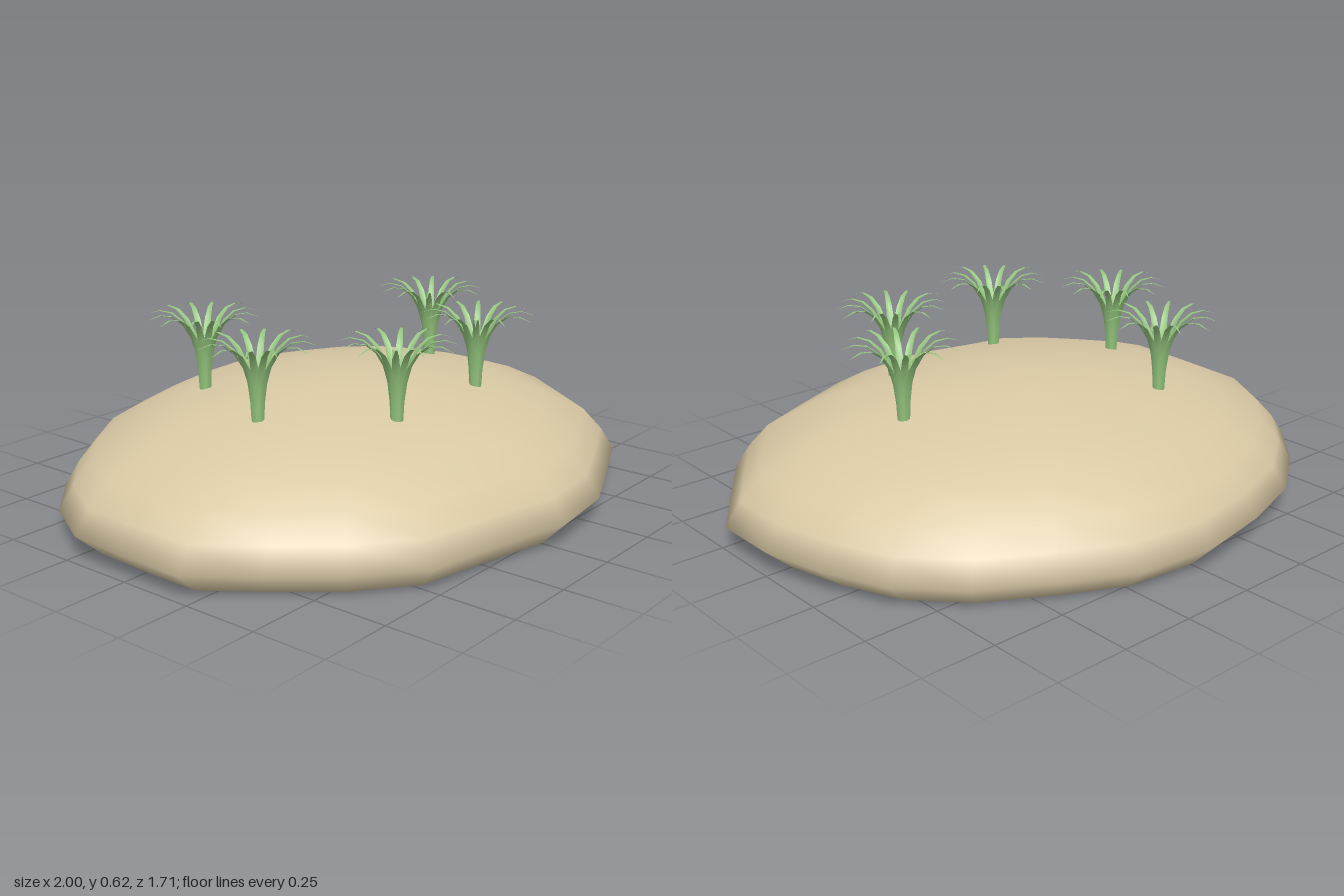
import * as THREE from 'three';
import { mergeVertices } from 'three/addons/utils/BufferGeometryUtils.js';

const sand = new THREE.MeshStandardMaterial({ name: 'sand', color: 0xd9c9a5 });
const leafGreen = new THREE.MeshStandardMaterial({ name: 'leafGreen', color: 0x93c47d, side: THREE.DoubleSide });

function indexed(positions, indices) {
  const g = new THREE.BufferGeometry();
  g.setAttribute('position', new THREE.Float32BufferAttribute(positions, 3));
  g.setIndex(indices);
  return g;
}

// Sandy mound: an irregular outline scaled through a domed profile
function createMound() {
  const outline = [
    [0, -0.86], [0.26, -0.83], [0.48, -0.72], [0.7, -0.59], [0.86, -0.42], [0.95, -0.21],
    [1, 0], [1, 0.22], [0.87, 0.41], [0.73, 0.61], [0.49, 0.72], [0.26, 0.82],
    [0, 0.85], [-0.26, 0.79], [-0.52, 0.74], [-0.71, 0.59], [-0.86, 0.41], [-1, 0.22],
    [-1, 0], [-0.99, -0.22], [-0.88, -0.42], [-0.71, -0.59], [-0.51, -0.73], [-0.27, -0.81],
  ];
  // fraction of the outline, height
  const profile = [
    [0, 0.42], [0.3, 0.4], [0.58, 0.352], [0.74, 0.295], [0.88, 0.228],
    [0.95, 0.155], [1, 0.08], [0.91, 0], [0, 0],
  ];
  const n = outline.length, pos = [], idx = [];
  for (const [f, y] of profile) for (const [x, z] of outline) pos.push(x * f, y, z * f);
  for (let r = 0; r < profile.length - 1; r++) {
    for (let k = 0; k < n; k++) {
      const a = r * n + k, b = r * n + (k + 1) % n, c = b + n, d = a + n;
      if (r > 0) idx.push(a, b, d);
      if (r < profile.length - 2) idx.push(b, c, d);
      else continue;
    }
  }
  const g = mergeVertices(indexed(pos, idx));
  g.computeVertexNormals();
  const mesh = new THREE.Mesh(g, sand);
  mesh.name = 'sandMound';
  return mesh;
}

// One arching blade, slightly folded along its middle, running out along +x
function createBlade() {
  // distance out, height, half width
  const spine = [
    [0.02, 0, 0.009], [0.023, 0.06, 0.01], [0.031, 0.12, 0.013], [0.048, 0.175, 0.012],
    [0.078, 0.222, 0.01], [0.115, 0.25, 0.0075], [0.157, 0.258, 0.0045], [0.2, 0.247, 0.0005],
  ];
  const pos = [], idx = [];
  spine.forEach(([x, y, w], i) => {
    pos.push(x - w * 0.25, y + w * 0.25, -w, x, y, 0, x - w * 0.25, y + w * 0.25, w);
    if (i === 0) return;
    for (let s = 0; s < 2; s++) {
      const a = (i - 1) * 3 + s, b = a + 1, c = b + 3, d = a + 3;
      idx.push(a, d, b, b, d, c);
    }
  });
  const g = indexed(pos, idx);
  g.computeVertexNormals();
  return g;
}

// Grass tuft: a ring of blades whose bases form the stem
function createTuft(blade, x, z) {
  const tuft = new THREE.Group();
  tuft.name = 'grassTuft';
  const count = 12;
  for (let i = 0; i < count; i++) {
    const leaf = new THREE.Mesh(blade, leafGreen);
    leaf.name = 'blade';
    leaf.rotation.y = (i / count) * Math.PI * 2 + 0.04;
    const s = i % 3 === 0 ? 1 : 0.92;
    leaf.scale.set(s, 1, 1);
    tuft.add(leaf);
  }
  tuft.position.set(x, 0.36, z);
  return tuft;
}

export function createModel() {
  const model = new THREE.Group();
  model.name = 'grassyMound';
  model.add(createMound());
  const blade = createBlade();
  const spots = [[-0.32, -0.33], [-0.48, 0.05], [-0.205, 0.37], [0.255, 0.345], [0.48, -0.005]];
  for (const [x, z] of spots) model.add(createTuft(blade, x, z));
  return model;
}
